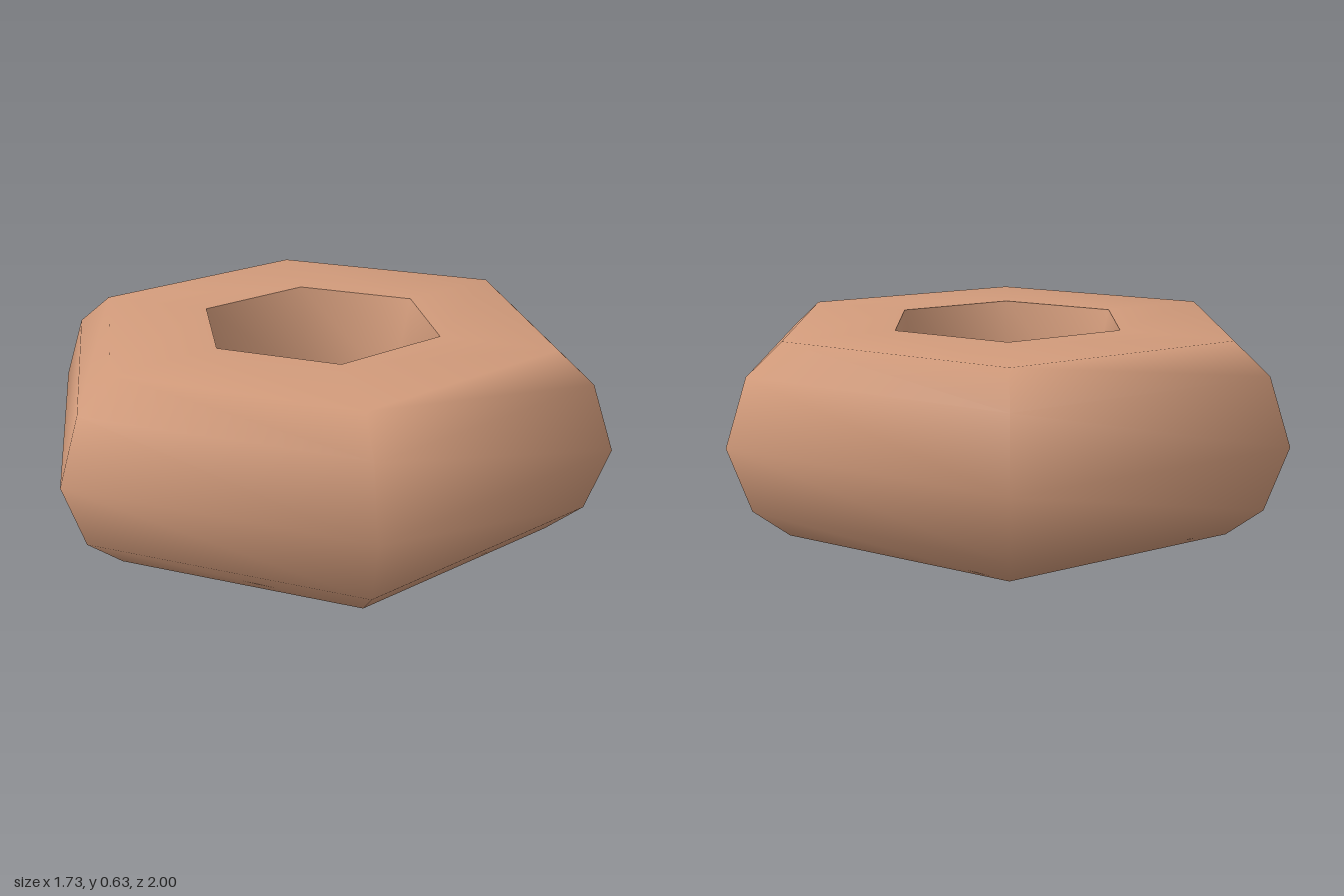
import * as THREE from 'three';

const SIDES = 6;

// Revolve a [radius, height] profile into a six-sided shell with a corner on +z
function shell(name, profile, material) {
  const points = profile.map(([r, y]) => new THREE.Vector2(r, y));
  const mesh = new THREE.Mesh(new THREE.LatheGeometry(points, SIDES), material);
  mesh.name = name;
  return mesh;
}

export function createModel() {
  const group = new THREE.Group();
  group.name = 'hexagonalRing';

  const clay = new THREE.MeshStandardMaterial({ color: 0xd29b7b });
  clay.name = 'clay';

  // Bottom face, rounded outer wall and top face, smooth across
  group.add(shell('outerBody', [
    [0.42, 0], [0.806, 0], [0.926, 0.1], [1, 0.315],
    [0.926, 0.53], [0.806, 0.63], [0.42, 0.63],
  ], clay));

  // Wall of the hole, narrowing to a waist, with sharp rims
  group.add(shell('holeWall', [
    [0.42, 0.63], [0.34, 0.315], [0.42, 0],
  ], clay));

  return group;
}
